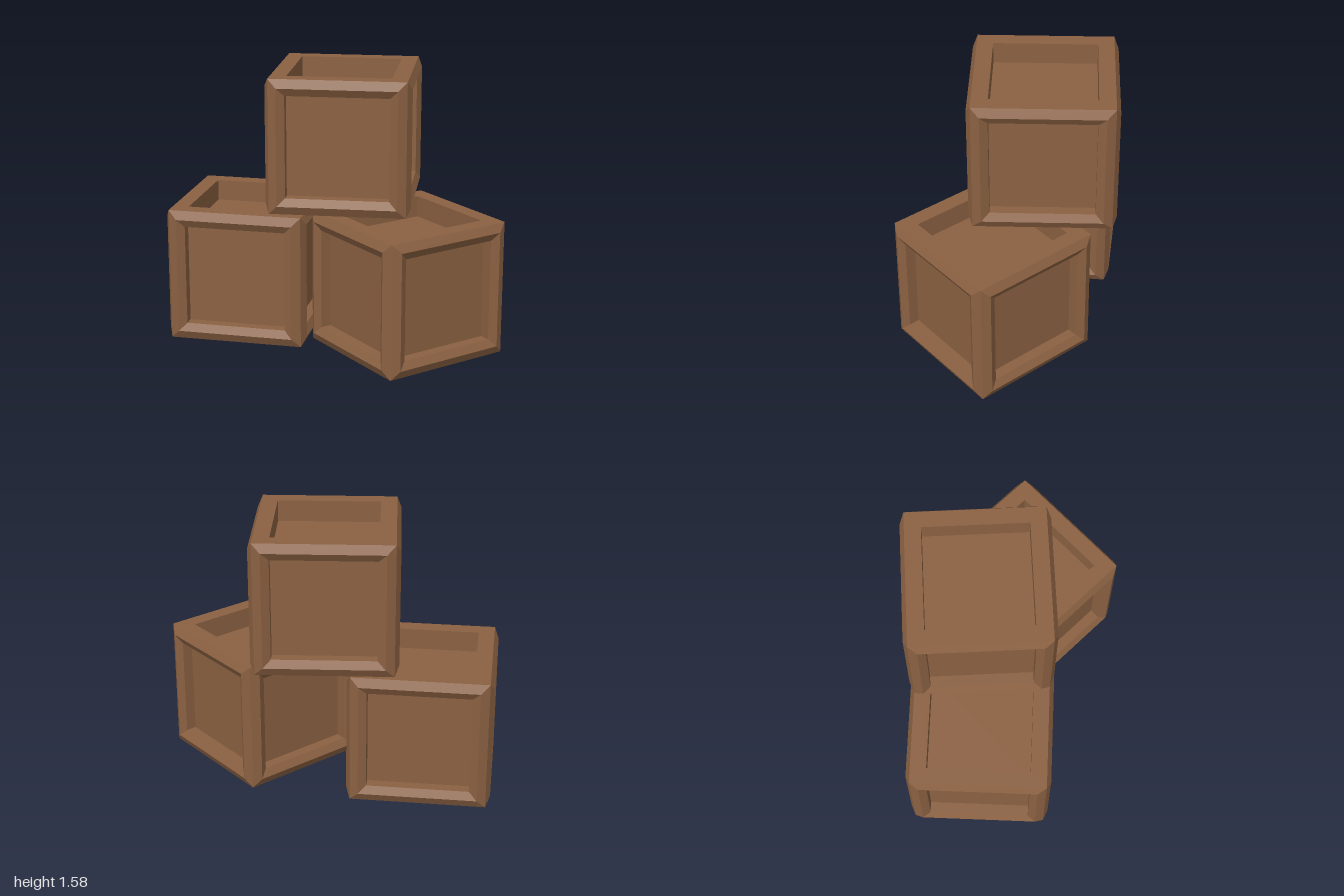
import * as THREE from 'three';

const H = 0.39; // half the crate edge

// Concentric square rings [half size, height], facing +z, closed by the last square
function steppedPanel(rings) {
  const pos = [];
  const corner = ([s, z], i) => {
    const [x, y] = [[-1, -1], [1, -1], [1, 1], [-1, 1]][i % 4];
    return [x * s, y * s, z];
  };
  const quad = (a, b, c, d) => pos.push(...a, ...b, ...c, ...a, ...c, ...d);
  for (let r = 0; r < rings.length - 1; r++) {
    for (let i = 0; i < 4; i++) {
      quad(corner(rings[r], i), corner(rings[r], i + 1),
        corner(rings[r + 1], i + 1), corner(rings[r + 1], i));
    }
  }
  const last = rings[rings.length - 1];
  quad(corner(last, 0), corner(last, 1), corner(last, 2), corner(last, 3));
  const geo = new THREE.BufferGeometry();
  geo.setAttribute('position', new THREE.Float32BufferAttribute(pos, 3));
  geo.computeVertexNormals();
  return geo;
}

export function createModel() {
  const wood = new THREE.MeshStandardMaterial({ color: 0x8b6142, flatShading: true });
  wood.name = 'brown wood';

  // Ridged frame around a sunken board
  const sideGeo = steppedPanel([[H, H], [H - 0.05, H + 0.025], [H - 0.095, H], [H - 0.095, H - 0.062]]);
  // Flat rim around a deeper well
  const topGeo = steppedPanel([[H, H], [H - 0.093, H], [H - 0.093, H - 0.125]]);
  const bottomGeo = steppedPanel([[H, H]]);

  function crate(name, x, y, z, degrees) {
    const group = new THREE.Group();
    group.name = name;
    const add = (part, geo, rx, ry) => {
      const mesh = new THREE.Mesh(geo, wood);
      mesh.name = part;
      mesh.rotation.set(rx, ry, 0);
      group.add(mesh);
    };
    ['frontPanel', 'leftPanel', 'backPanel', 'rightPanel'].forEach((part, i) =>
      add(part, sideGeo, 0, i * Math.PI / 2));
    add('top', topGeo, -Math.PI / 2, 0);
    add('bottom', bottomGeo, Math.PI / 2, 0);
    group.position.set(x, y + H, z);
    group.rotation.y = THREE.MathUtils.degToRad(degrees);
    return group;
  }

  const model = new THREE.Group();
  model.name = 'crateStack';
  model.add(
    crate('lowerRightCrate', -0.488, 0, 0.131, 23.5),
    crate('lowerLeftCrate', 0.491, 0, -0.061, -20.4),
    crate('upperCrate', 0.015, 0.796, -0.122, 28.4),
  );
  return model;
}
